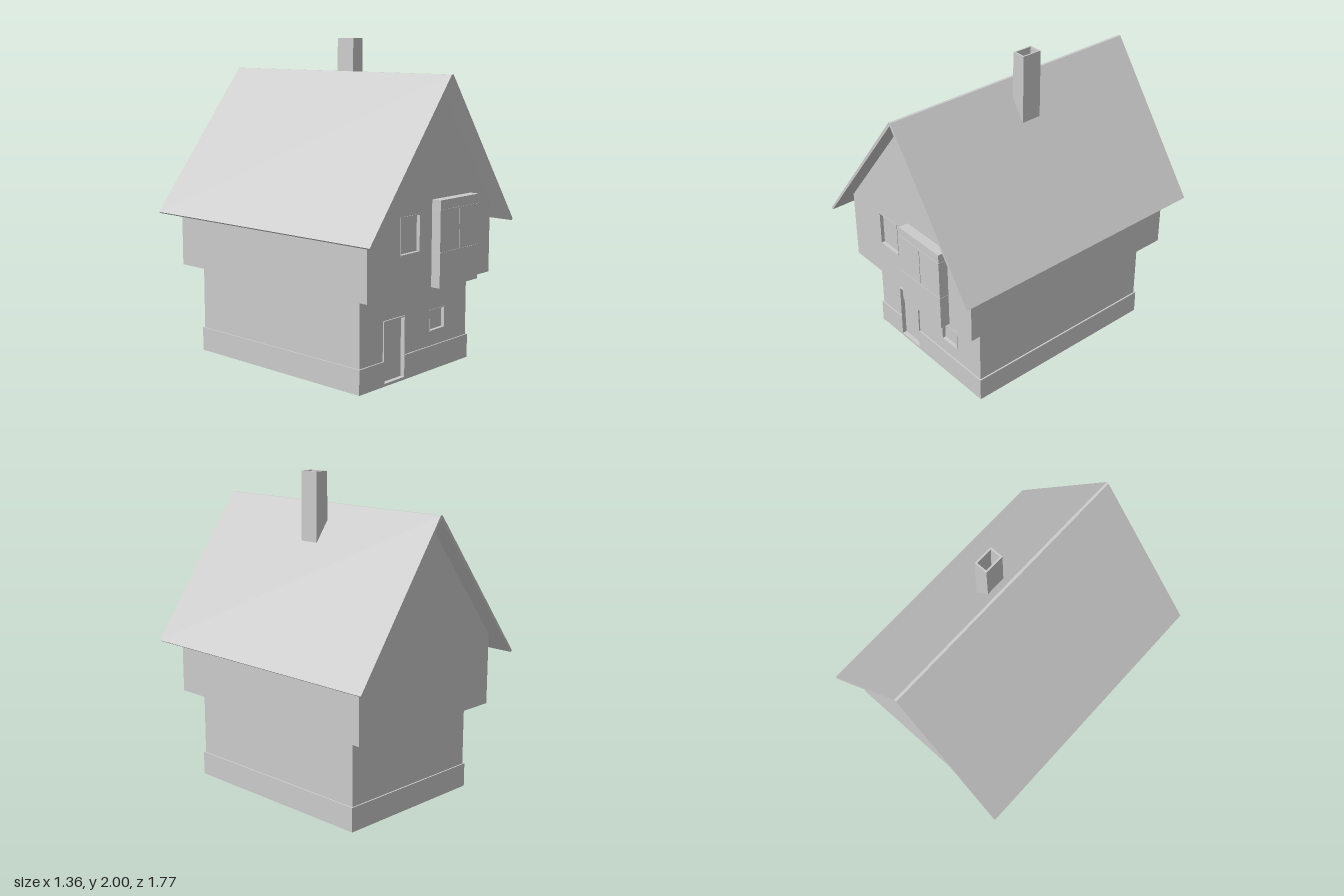
import * as THREE from 'three';

const material = new THREE.MeshStandardMaterial({ color: 0xcccccc, flatShading: true });

function add(parent, name, geometry, x = 0, y = 0, z = 0) {
  const mesh = new THREE.Mesh(geometry, material);
  mesh.name = name;
  mesh.position.set(x, y, z);
  parent.add(mesh);
  return mesh;
}

// Box given by its limits on each axis
function block(parent, name, x0, x1, y0, y1, z0, z1) {
  return add(parent, name, new THREE.BoxGeometry(x1 - x0, y1 - y0, z1 - z0),
    (x0 + x1) / 2, (y0 + y1) / 2, (z0 + z1) / 2);
}

const points = (list) => list.map(([x, y]) => new THREE.Vector2(x, y));
const rect = ([x0, x1, y0, y1]) => points([[x0, y0], [x1, y0], [x1, y1], [x0, y1]]);

// Outline extruded from z0 to z1, with optional rectangular holes
function slab(parent, name, outline, z0, z1, holes = []) {
  const shape = new THREE.Shape(outline);
  holes.forEach((h) => shape.holes.push(new THREE.Path(rect(h))));
  const geometry = new THREE.ExtrudeGeometry(shape, { depth: z1 - z0, bevelEnabled: false });
  return add(parent, name, geometry, 0, 0, z0);
}

// Thin rectangular surround
function frame(parent, name, [x0, x1, y0, y1], t, z0, z1) {
  slab(parent, name, rect([x0, x1, y0, y1]), z0, z1, [[x0 + t, x1 - t, y0 + t, y1 - t]]);
}

export function createModel() {
  const house = new THREE.Group();
  house.name = 'house';

  const door = [-0.3, -0.105, 0.01, 0.39];
  const lowerWindow = [0.135, 0.285, 0.24, 0.375];
  const upperWindow = [-0.297, -0.117, 0.787, 1.01];
  const recess = 0.02;

  // Ground floor: solid core with a pierced front skin
  block(house, 'groundFloorCore', -0.505, 0.505, 0.01, 0.57, -0.664, 0.664 - recess);
  slab(house, 'groundFloorFront', rect([-0.505, 0.505, 0.005, 0.57]), 0.664 - recess, 0.664,
    [door, lowerWindow]);

  // Plinth, notched around the door
  block(house, 'plinthCore', -0.515, 0.515, 0, 0.15, -0.673, 0.664 - recess);
  slab(house, 'plinthFront', points([
    [-0.515, 0], [0.515, 0], [0.515, 0.15], [door[1], 0.15], [door[1], 0.01],
    [door[0], 0.01], [door[0], 0.15], [-0.515, 0.15],
  ]), 0.664 - recess, 0.673);

  // Door surround and lower window frame
  frame(house, 'doorFrame', door, 0.007, 0.64, 0.673);
  frame(house, 'lowerWindowFrame', lowerWindow, 0.005, 0.64, 0.667);

  // Upper floor with its gables
  const gable = points([[-0.578, 0.56], [0.578, 0.56], [0.578, 1.0], [0.03, 1.785], [-0.578, 1.01]]);
  slab(house, 'upperFloorCore', gable, -0.782, 0.782 - recess);
  slab(house, 'upperFloorFront', gable, 0.782 - recess, 0.782, [upperWindow]);
  frame(house, 'upperWindowFrame', upperWindow, 0.005, 0.76, 0.785);

  // Bay window with fine glazing bars
  const bay = new THREE.Group();
  bay.name = 'bayWindow';
  house.add(bay);
  block(bay, 'bayBox', -0.005, 0.37, 0.56, 1.08, 0.77, 0.844);
  for (const y of [0.77, 1.02]) block(bay, 'bayRail', -0.007, 0.372, y - 0.004, y + 0.004, 0.78, 0.847);
  block(bay, 'bayMullion', 0.178, 0.186, 0.77, 1.02, 0.84, 0.847);

  // Two thin roof slopes meeting at an off-centre ridge
  slab(house, 'roof', points([
    [-0.68, 0.902], [0.024, 1.8], [0.04, 1.8], [0.677, 0.894],
    [0.664, 0.886], [0.032, 1.78], [-0.668, 0.893],
  ]), -0.887, 0.887);

  // Hollow chimney: square tube, slightly slanted on its ridge side
  const stack = new THREE.Shape(rect([0.11, 0.197, -0.065, 0.065]));
  stack.holes.push(new THREE.Path(rect([0.12, 0.187, -0.055, 0.055])));
  const chimney = new THREE.ExtrudeGeometry(stack, { depth: 0.5, bevelEnabled: false });
  chimney.rotateX(-Math.PI / 2);
  const p = chimney.attributes.position;
  for (let i = 0; i < p.count; i++) {
    if (p.getY(i) < 0.1 && p.getX(i) < 0.15) p.setX(i, p.getX(i) - 0.008);
  }
  chimney.computeVertexNormals();
  add(house, 'chimney', chimney, 0, 1.5, 0);

  return house;
}
